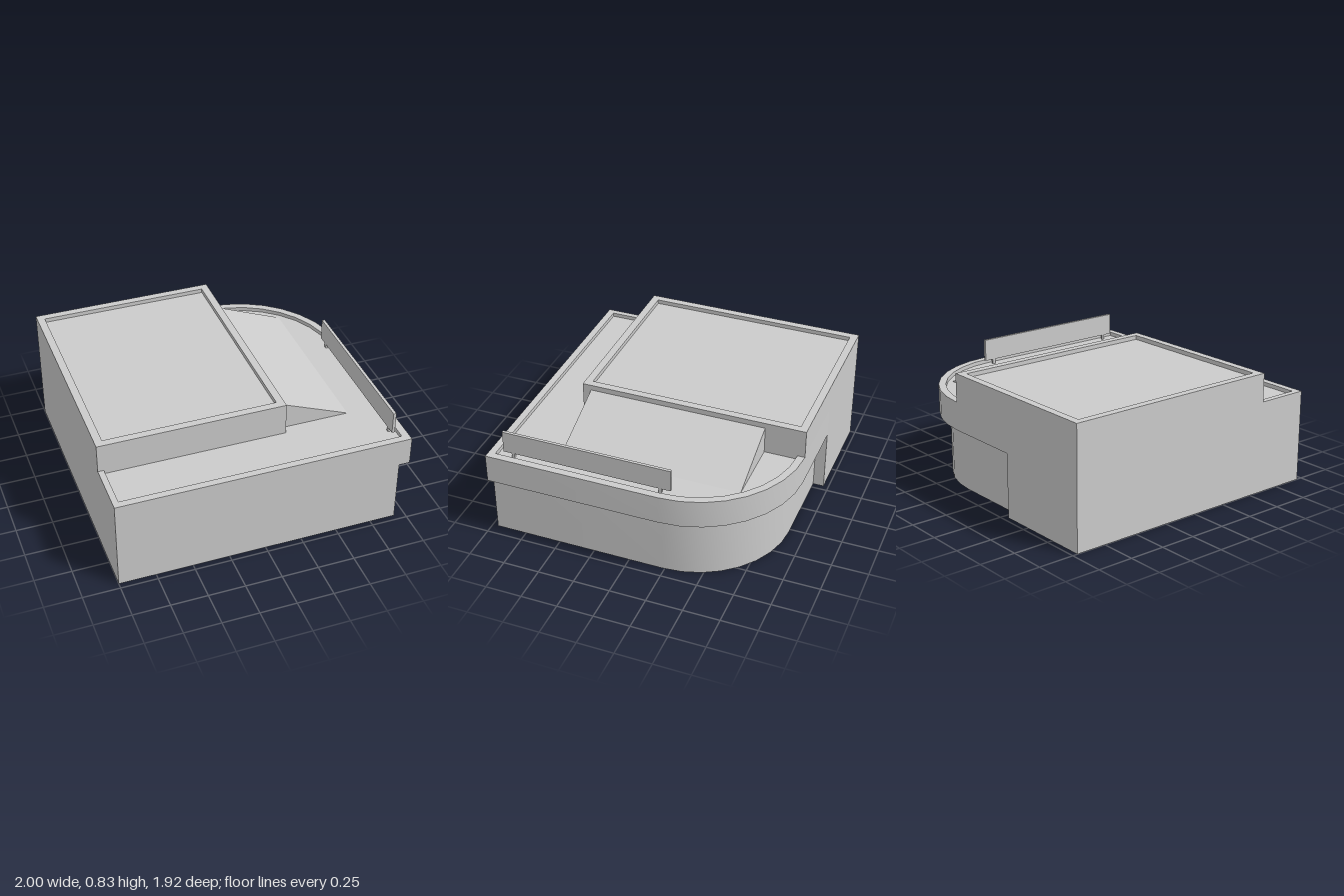
import * as THREE from 'three';
import { toCreasedNormals } from 'three/addons/utils/BufferGeometryUtils.js';

const BACK = -0.965, FRONT = 0.96, STEP_X = 0.27, STEP_Z = 0.594;
const TERRACE = 0.61, PARAPET = 0.637, ROOF = 0.805, TOP = 0.834;

const material = new THREE.MeshStandardMaterial({ color: 0xcccccc, side: THREE.DoubleSide });

function add(parent, name, geometry, x = 0, y = 0, z = 0) {
  const mesh = new THREE.Mesh(geometry, material);
  mesh.name = name;
  mesh.position.set(x, y, z);
  parent.add(mesh);
  return mesh;
}

// Quarter-round back corner in plan, pulled in by an inset
function corner(inset) {
  const points = [];
  for (let i = 0; i <= 8; i++) {
    const a = (i / 8) * Math.PI / 2;
    points.push([
      STEP_X + (1 - STEP_X - inset) * Math.sin(a),
      -0.235 - (-0.235 - BACK - inset) * Math.cos(a),
    ]);
  }
  return points;
}

// Skin between matching plan outlines, each row being [outline, height]
function loft(rows) {
  const positions = [];
  for (let r = 0; r < rows.length - 1; r++) {
    const [low, y0] = rows[r], [high, y1] = rows[r + 1];
    for (let i = 0; i < low.length - 1; i++) {
      const a0 = [low[i][0], y0, low[i][1]], b0 = [low[i + 1][0], y0, low[i + 1][1]];
      const a1 = [high[i][0], y1, high[i][1]], b1 = [high[i + 1][0], y1, high[i + 1][1]];
      positions.push(...a0, ...a1, ...b1, ...a0, ...b1, ...b0);
    }
  }
  const geometry = new THREE.BufferGeometry();
  geometry.setAttribute('position', new THREE.Float32BufferAttribute(positions, 3));
  geometry.computeVertexNormals();
  return toCreasedNormals(geometry, 0.5);
}

// Horizontal sheet filling a plan outline
function sheet(outline) {
  const shape = new THREE.Shape(outline.map(([x, z]) => new THREE.Vector2(x, -z)));
  return new THREE.ShapeGeometry(shape).rotateX(-Math.PI / 2);
}

function rectangle(inset) {
  const x0 = -1 + inset, x1 = STEP_X - inset, z0 = BACK + inset, z1 = STEP_Z - inset;
  return [[x0, z0], [x1, z0], [x1, z1], [x0, z1], [x0, z0]];
}

export function createModel() {
  const model = new THREE.Group();
  model.name = 'building';

  // Ground-floor walls, open below, with the overhanging upper band
  const notch = -0.29, overhang = 0.075;
  const leftAndBack = [[-1, FRONT], [-1, BACK], [notch, BACK]];
  const wall = [[notch, BACK + overhang], ...corner(overhang), [1 - overhang, FRONT],
    ...leftAndBack, [notch, BACK + overhang]];
  const band = [[notch, BACK], ...corner(0), [1, FRONT], ...leftAndBack, [notch, BACK]];
  add(model, 'lowerWalls', loft([[wall, 0], [wall, 0.44], [band, 0.44], [band, PARAPET]]));

  // Terrace parapet and floor
  const rim = [...corner(0), [1, FRONT], [-1, FRONT], [-1, STEP_Z]];
  const inner = [...corner(0.05), [0.95, 0.912], [-0.96, 0.912], [-0.96, STEP_Z]];
  add(model, 'terraceParapet', loft([[rim, PARAPET], [inner, PARAPET], [inner, TERRACE]]));
  add(model, 'terraceFloor', sheet([...inner, [STEP_X, STEP_Z]]), 0, TERRACE, 0);

  // Upper storey with a recessed roof
  const outside = rectangle(0), inside = rectangle(0.052);
  add(model, 'upperWalls', loft([[outside, TERRACE], [outside, TOP], [inside, TOP], [inside, ROOF]]));
  add(model, 'roof', sheet(inside.slice(0, 4)), 0, ROOF, 0);

  // Sloped wedge against the upper storey
  const wedge = new THREE.Shape();
  wedge.moveTo(STEP_X, TERRACE);
  wedge.lineTo(0.735, TERRACE);
  wedge.lineTo(STEP_X, 0.797);
  wedge.closePath();
  add(model, 'slopedRoof',
    new THREE.ExtrudeGeometry(wedge, { depth: 1.225, bevelEnabled: false }), 0, 0, -0.69);

  // Sign-like panel on two short posts
  const panel = new THREE.Group();
  panel.name = 'edgePanel';
  model.add(panel);
  add(panel, 'panelBoard', new THREE.BoxGeometry(0.02, 0.152, 1.16), 0.91, 0.721, 0.287);
  for (const z of [-0.22, 0.8]) {
    add(panel, 'panelPost', new THREE.BoxGeometry(0.016, 0.04, 0.02), 0.91, TERRACE + 0.02, z);
  }

  return model;
}
